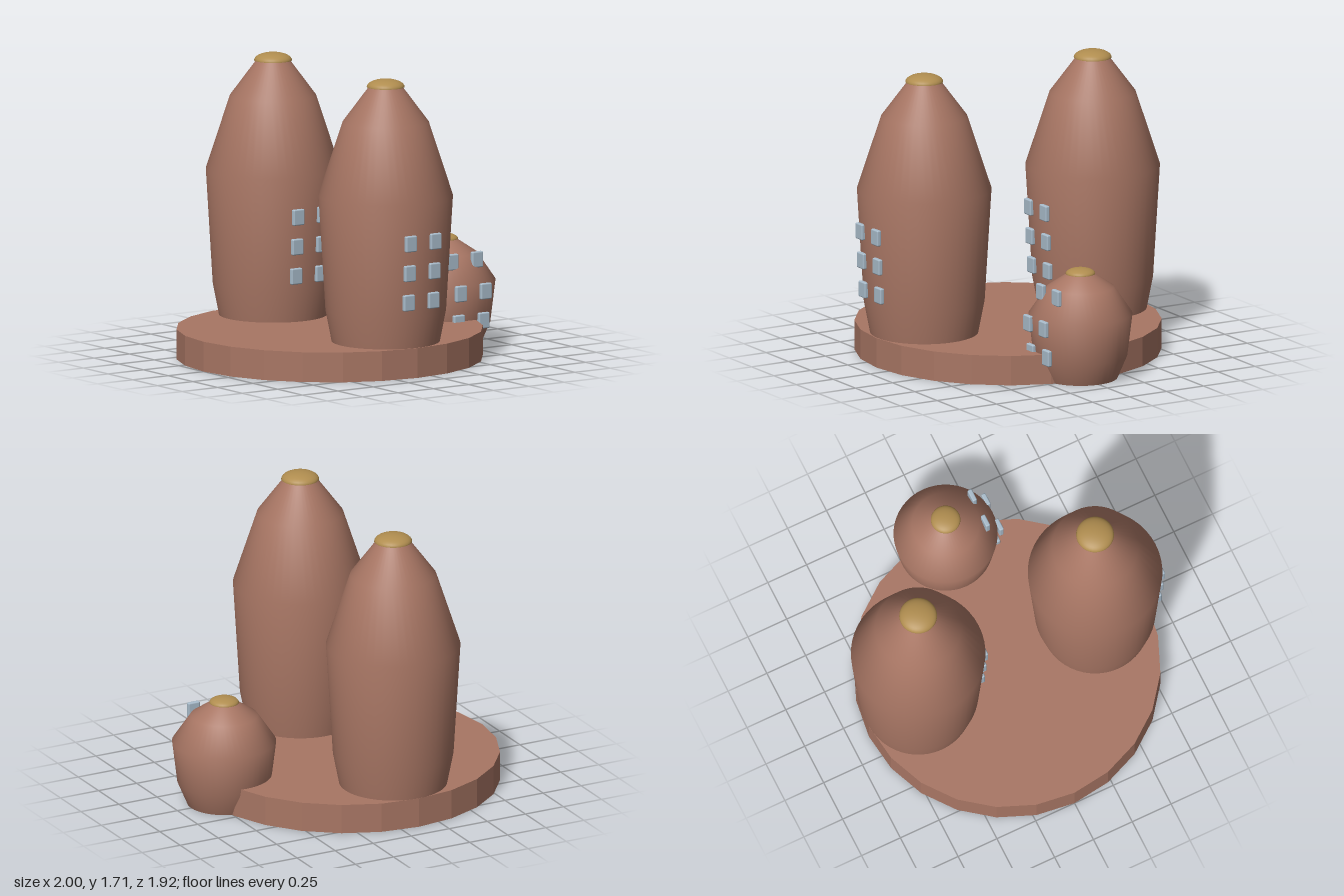
import * as THREE from 'three';
import { RoundedBoxGeometry } from 'three/addons/geometries/RoundedBoxGeometry.js';

const clay = new THREE.MeshStandardMaterial({ name: 'clay', color: 0xa87664 });
const brass = new THREE.MeshStandardMaterial({ name: 'brass', color: 0xb08d4f });
const glass = new THREE.MeshStandardMaterial({ name: 'glass', color: 0xa9bccb });

function add(parent, name, geometry, material, x = 0, y = 0, z = 0) {
  const mesh = new THREE.Mesh(geometry, material);
  mesh.name = name;
  mesh.position.set(x, y, z);
  parent.add(mesh);
  return mesh;
}

// A bulbous tower: turned wall, floor, domed cap and rows of paired windows
function tower(name, { profile, capRadius, capHeight, windowX, rows }) {
  const group = new THREE.Group();
  group.name = name;
  const points = profile.map(([r, y]) => new THREE.Vector2(r, y));
  add(group, 'wall', new THREE.LatheGeometry(points, 48), clay);
  add(group, 'floor', new THREE.CircleGeometry(profile[0][0], 48).rotateX(Math.PI / 2), clay);

  const top = profile[profile.length - 1][1];
  const dome = new THREE.SphereGeometry(capRadius, 32, 10, 0, Math.PI * 2, 0, Math.PI / 2);
  add(group, 'cap', dome.scale(1, capHeight / capRadius, 1), brass, 0, top, 0);
  add(group, 'capUnderside', new THREE.CircleGeometry(capRadius, 32).rotateX(Math.PI / 2), brass, 0, top, 0);

  for (const [y, z] of rows) {
    for (const x of windowX) {
      add(group, 'window', new RoundedBoxGeometry(0.076, 0.094, 0.028, 2, 0.008), glass, x, y, z);
    }
  }
  return group;
}

export function createModel() {
  const model = new THREE.Group();
  model.name = 'towerCluster';

  // Faceted round base
  const disc = new THREE.CylinderGeometry(0.89, 0.89, 0.175, 24).toNonIndexed();
  disc.computeVertexNormals();
  add(model, 'base', disc, clay, -0.11, 0.0875, 0);

  // Two tall towers, front and back
  const tall = {
    profile: [[0.28, 0], [0.35, 0.36], [0.39, 1.03], [0.25, 1.46], [0.098, 1.665]],
    capRadius: 0.11,
    capHeight: 0.046,
    windowX: [-0.087, 0.087],
    rows: [[0.453, 0.358], [0.627, 0.369], [0.802, 0.379]],
  };
  for (const [name, z] of [['frontTower', 0.567], ['backTower', -0.573]]) {
    const t = tower(name, tall);
    t.position.set(-0.11, 0, z);
    model.add(t);
  }

  // Small tower on the edge of the base
  const small = tower('smallTower', {
    profile: [[0.215, 0], [0.272, 0.135], [0.302, 0.382], [0.195, 0.54], [0.078, 0.618]],
    capRadius: 0.086,
    capHeight: 0.034,
    windowX: [-0.087, 0.087],
    rows: [[0.168, 0.28], [0.343, 0.302], [0.517, 0.214]],
  });
  small.position.set(0.695, 0, -0.003);
  model.add(small);

  return model;
}
